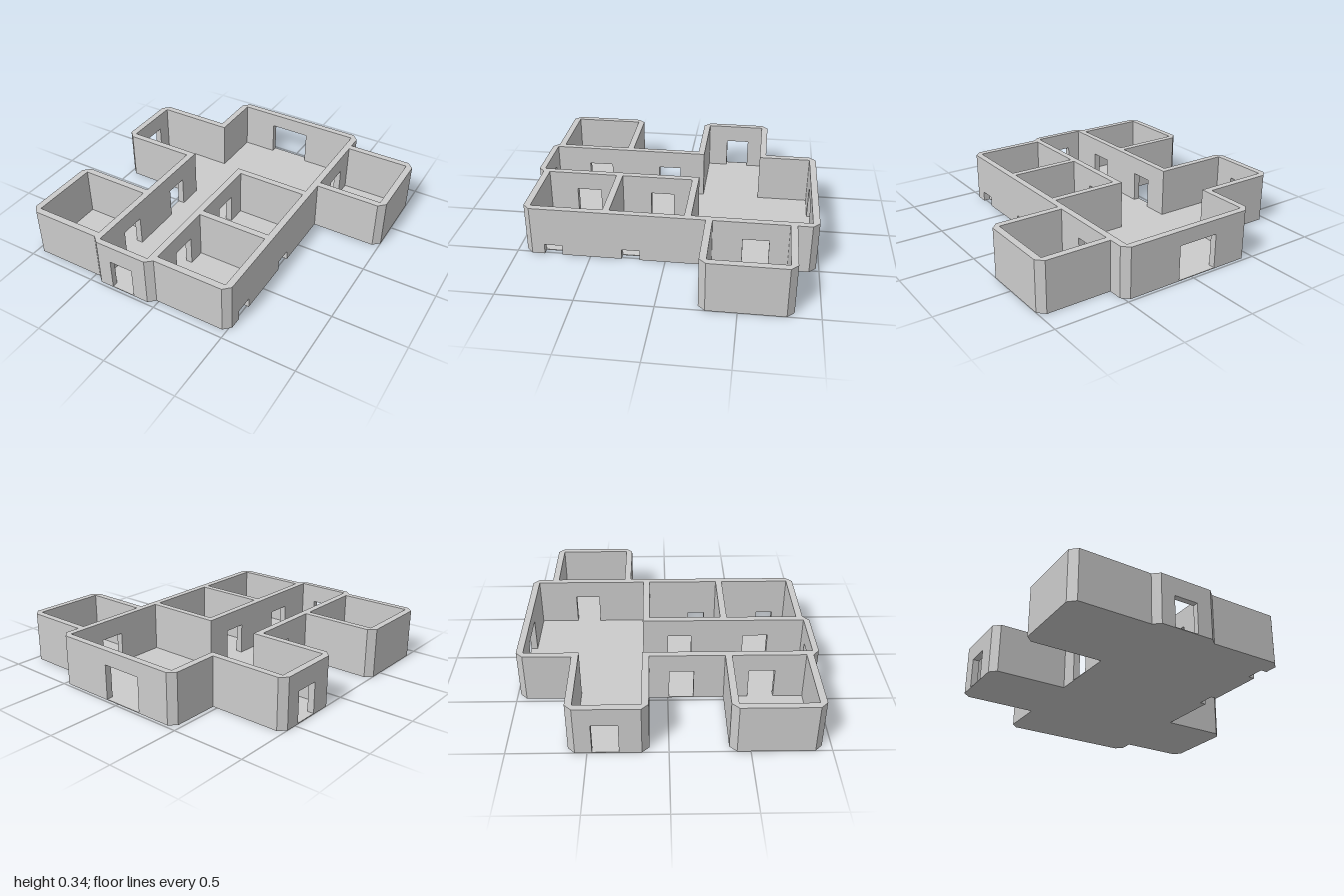
import * as THREE from 'three';

const T = 0.045;      // wall thickness
const TOP = 0.34;     // wall height
const FLOOR = 0.005;  // floor thickness
const DOOR = 0.215;   // door height

const material = new THREE.MeshStandardMaterial({ color: 0xcccccc, flatShading: true });

const toShape = (pts) => new THREE.Shape(pts.map(([a, b]) => new THREE.Vector2(a, b)));
const extrude = (pts, depth) =>
  new THREE.ExtrudeGeometry(toShape(pts), { depth, bevelEnabled: false });

// Upright prism over an (x, z) footprint
const prism = (pts, y0, y1) =>
  extrude(pts, y1 - y0).rotateX(Math.PI / 2).translate(0, y1, 0);

// Wall elevation with openings [start, end, height] cut from its foot
function elevation(a, b, openings) {
  const pts = [[a, FLOOR]];
  for (const [s, e, h = DOOR] of openings) pts.push([s, FLOOR], [s, h], [e, h], [e, FLOOR]);
  pts.push([b, FLOOR], [b, TOP], [a, TOP]);
  return pts;
}

export function createModel() {
  const model = new THREE.Group();
  model.name = 'floorPlan';
  const add = (name, geometry) => {
    const mesh = new THREE.Mesh(geometry, material);
    mesh.name = name;
    model.add(mesh);
  };

  // Floor slab, following the outer walls, notched at the low vents
  add('floor', prism([
    [-0.425, -0.98], [0.47, -0.98], [0.515, -0.935], [0.515, -0.84], [0.955, -0.84],
    [1, -0.795], [1, -0.305], [0.955, -0.26], [0.515, -0.26],
    [0.515, 0.17], [0.47, 0.17], [0.47, 0.29], [0.515, 0.29],
    [0.515, 0.69], [0.47, 0.69], [0.47, 0.81], [0.515, 0.81],
    [0.515, 0.895], [0.47, 0.94], [-0.015, 0.94], [-0.06, 0.98], [-0.425, 0.98],
    [-0.47, 0.94], [-0.955, 0.94], [-1, 0.895], [-1, 0.415], [-0.955, 0.37],
    [-0.47, 0.37], [-0.47, -0.12], [-0.955, -0.12], [-1, -0.165], [-1, -0.575],
    [-0.955, -0.62], [-0.47, -0.62], [-0.47, -0.935],
  ], 0, FLOOR));

  // Walls running along x: name, x start, x end, back z, openings, thickness
  const alongX = [
    ['hallBackWall', -0.425, 0.47, -0.98, [[-0.185, 0.1, 0.24]]],
    ['leftRoomBackWall', 0.515, 0.955, -0.84],
    ['leftRoomFrontWall', 0.515, 0.955, -0.305],
    ['wingBackWall', -0.955, -0.425, -0.62],
    ['wingFrontWall', -0.955, -0.425, -0.165],
    ['hallFrontWall', -0.06, 0.47, -0.165],
    ['roomDividerWall', -0.015, 0.47, 0.37],
    ['frontRoomWall', -0.015, 0.47, 0.895],
    ['entranceWall', -0.425, -0.06, 0.94, [[-0.33, -0.165]], 0.04],
    ['rightRoomBackWall', -0.955, -0.47, 0.37],
    ['rightRoomFrontWall', -0.955, -0.47, 0.895],
  ];
  for (const [name, a, b, z, openings = [], t = T] of alongX)
    add(name, extrude(elevation(a, b, openings), t).translate(0, 0, z));

  // Walls running along z: name, z start, z end, lower x, openings
  const corridorDoors = [[0.01, 0.17], [0.53, 0.7]];
  const alongZ = [
    ['hallRightWall', -0.935, -0.62, -0.47],
    ['leftLongWall', -0.935, 0.895, 0.47, [[-0.67, -0.5], [0.17, 0.29, 0.07], [0.69, 0.81, 0.07]]],
    ['leftRoomOuterWall', -0.795, -0.305, 0.955],
    ['wingOuterWall', -0.575, -0.165, -1, [[-0.47, -0.305]]],
    ['corridorRightWall', -0.12, 0.94, -0.47, corridorDoors],
    ['corridorLeftWall', -0.12, 0.94, -0.06, corridorDoors],
    ['rightRoomOuterWall', 0.415, 0.895, -1],
  ];
  for (const [name, a, b, x, openings = []] of alongZ)
    add(name, extrude(elevation(a, b, openings), T).rotateY(-Math.PI / 2).translate(x + T, 0, 0));

  // Chamfered outer corners: inner corner x, z and outward directions
  const corners = [
    [0.47, -0.935, 1, -1], [-0.425, -0.935, -1, -1],
    [0.955, -0.795, 1, -1], [0.955, -0.305, 1, 1],
    [0.47, 0.895, 1, 1], [-0.06, 0.94, 1, 1, 0.04], [-0.425, 0.94, -1, 1, 0.04],
    [-0.955, 0.895, -1, 1], [-0.955, 0.415, -1, -1],
    [-0.955, -0.165, -1, 1], [-0.955, -0.575, -1, -1],
  ];
  for (const [x, z, sx, sz, depth = T] of corners)
    add('chamferedCorner', prism([[x, z], [x + sx * T, z], [x, z + sz * depth]], FLOOR, TOP));

  return model;
}
